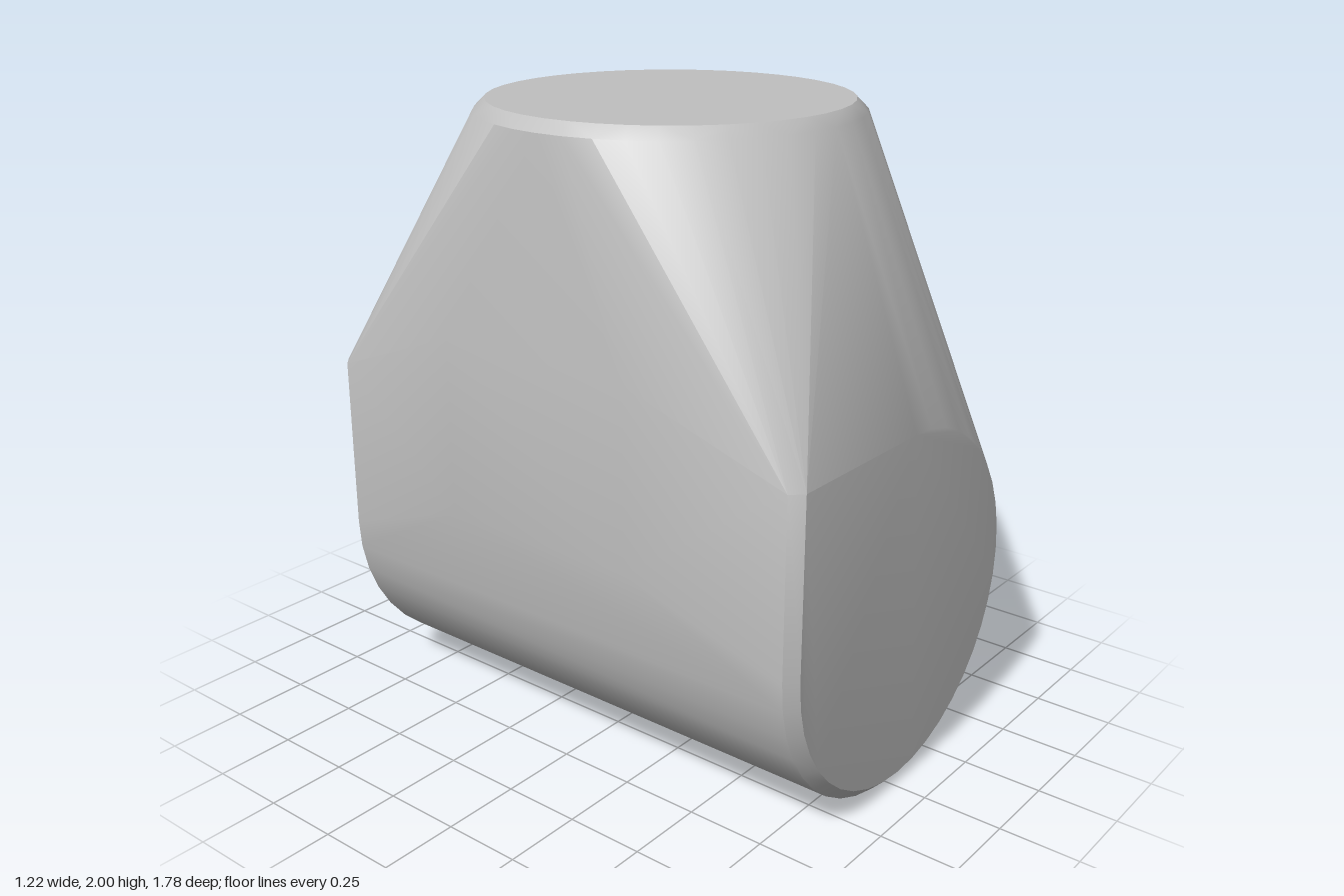
import * as THREE from 'three';
import { ConvexGeometry } from 'three/addons/geometries/ConvexGeometry.js';
import { toCreasedNormals } from 'three/addons/utils/BufferGeometryUtils.js';

const CX = 0.02;       // axis shared by both cylinders
const R = 0.585;       // cylinder radius
const BEVEL = 0.035;   // edge chamfer
const HALF = 0.89;     // half length of the horizontal cylinder
const SEGMENTS = 40;

// Points of a circle, placed by a function of its two plane coordinates
function ring(radius, place) {
  return Array.from({ length: SEGMENTS }, (_, i) => {
    const a = (i / SEGMENTS) * Math.PI * 2;
    return place(Math.cos(a) * radius, Math.sin(a) * radius);
  });
}

export function createModel() {
  const group = new THREE.Group();
  group.name = 'teeHousing';
  const grey = new THREE.MeshStandardMaterial({ color: 0xc0c0c0 });
  grey.name = 'grey';
  const v = (x, y, z) => new THREE.Vector3(x, y, z);
  const points = [];

  // Chamfered round top
  points.push(...ring(R - BEVEL, (a, b) => v(CX + a, 2, b)));
  points.push(...ring(R, (a, b) => v(CX + a, 2 - BEVEL, b)));

  for (const s of [-1, 1]) {
    // Chamfered end of the horizontal cylinder
    points.push(...ring(R - BEVEL, (a, b) => v(CX + a, R + b, s * HALF)));
    points.push(...ring(R, (a, b) => v(CX + a, R + b, s * (HALF - BEVEL))));
    // Square shoulder on the -x side
    points.push(v(CX - R + BEVEL, 1.135, s * HALF));
    points.push(v(CX - R, 1.135, s * (HALF - BEVEL)));
    // Raised square pad in the middle of the -x side
    points.push(v(-0.61, 0.77, s * 0.34), v(-0.61, 1.33, s * 0.34));
  }

  // One taut skin around all the profiles
  const body = new THREE.Mesh(toCreasedNormals(new ConvexGeometry(points), 0.5), grey);
  body.name = 'housingBody';
  group.add(body);
  return group;
}
